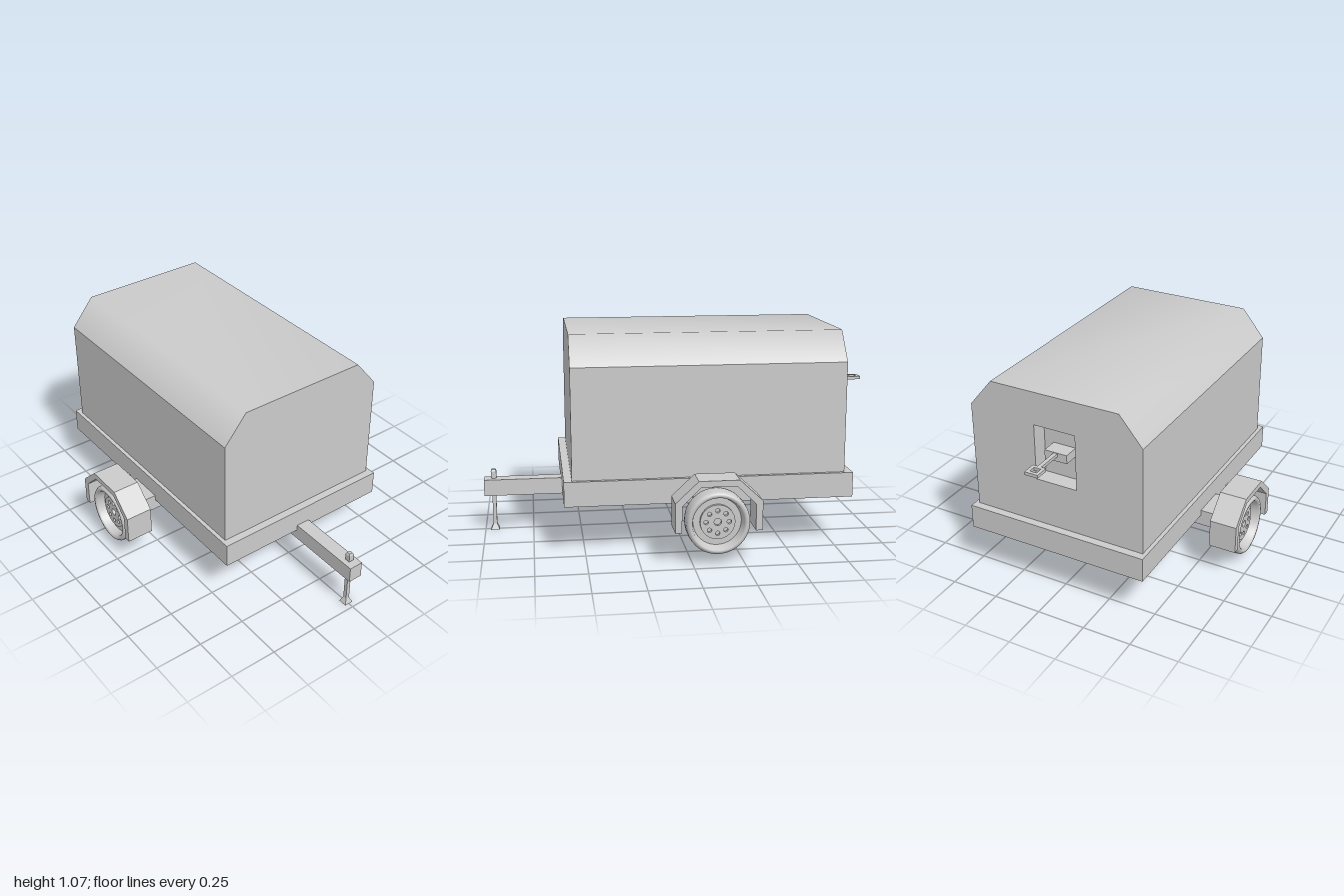
import * as THREE from 'three';

const mat = new THREE.MeshStandardMaterial({ color: 0xcccccc });
const thin = new THREE.MeshStandardMaterial({ color: 0xcccccc, side: THREE.DoubleSide });

function add(parent, name, geometry, x = 0, y = 0, z = 0, material = mat) {
  const mesh = new THREE.Mesh(geometry, material);
  mesh.name = name;
  mesh.position.set(x, y, z);
  parent.add(mesh);
  return mesh;
}

// Box given by its limits on each axis
function box(parent, name, [x0, x1], [y0, y1], [z0, z1]) {
  return add(parent, name, new THREE.BoxGeometry(x1 - x0, y1 - y0, z1 - z0),
    (x0 + x1) / 2, (y0 + y1) / 2, (z0 + z1) / 2);
}

// Surface swept along z from an xy line; smooth across its bends unless flat
function strip(pts, z0, z1, flat = false) {
  const pos = [], idx = [];
  pts.forEach(([x, y], i) => {
    pos.push(x, y, z0, x, y, z1);
    const a = 2 * i;
    if (i < pts.length - 1) idx.push(a + 1, a, a + 3, a, a + 2, a + 3);
  });
  let g = new THREE.BufferGeometry();
  g.setAttribute('position', new THREE.Float32BufferAttribute(pos, 3));
  g.setIndex(idx);
  if (flat) g = g.toNonIndexed();
  g.computeVertexNormals();
  return g;
}

const shapeOf = pts => new THREE.Shape(pts.map(p => new THREE.Vector2(...p)));

function createBody() {
  const body = new THREE.Group();
  body.name = 'body';
  const back = -0.8, front = 0.56, recess = -0.715;
  const roof = [[0.46, 0.925], [0.34, 1.07], [-0.34, 1.07], [-0.46, 0.925]];
  const outline = [[0.46, 0.37], ...roof, [-0.46, 0.37]];
  const opening = [[-0.11, 0.61], [-0.11, 0.9], [0.11, 0.9], [0.11, 0.61]];

  add(body, 'roof', strip(roof, back, front), 0, 0, 0, thin);
  add(body, 'leftWall', strip([[0.46, 0.37], [0.46, 0.925]], back, front), 0, 0, 0, thin);
  add(body, 'rightWall', strip([[-0.46, 0.925], [-0.46, 0.37]], back, front), 0, 0, 0, thin);
  add(body, 'frontWall', new THREE.ShapeGeometry(shapeOf(outline)), 0, 0, front, thin);

  // Back wall with a recessed pocket
  const wall = shapeOf(outline);
  wall.holes.push(shapeOf(opening));
  add(body, 'backWall', new THREE.ShapeGeometry(wall).rotateY(Math.PI), 0, 0, back, thin);
  add(body, 'recessSides', strip([...opening, opening[0]], back, recess, true), 0, 0, 0, thin);
  add(body, 'recessBack', new THREE.PlaneGeometry(0.22, 0.29).rotateY(Math.PI), 0, 0.755, recess, thin);
  return body;
}

// Rear coupling: block, rod and square eye
function createCoupling() {
  const g = new THREE.Group();
  g.name = 'rearCoupling';
  box(g, 'couplingBlock', [-0.06, 0.06], [0.735, 0.78], [-0.795, -0.715]);
  box(g, 'couplingRod', [-0.01, 0.01], [0.761, 0.777], [-0.935, -0.79]);
  const eye = shapeOf([[-0.035, -0.035], [0.035, -0.035], [0.035, 0.035], [-0.035, 0.035]]);
  eye.holes.push(shapeOf([[-0.018, -0.018], [-0.018, 0.018], [0.018, 0.018], [0.018, -0.018]]));
  const geo = new THREE.ExtrudeGeometry(eye, { depth: 0.016, bevelEnabled: false });
  add(g, 'couplingEye', geo.rotateX(-Math.PI / 2), 0, 0.761, -0.965);
  return g;
}

// Square jack leg with a flared foot and a small head
function createJack() {
  const g = new THREE.Group();
  g.name = 'jack';
  g.position.z = 0.95;
  const square = (top, bottom, h) =>
    new THREE.CylinderGeometry(top * Math.SQRT2, bottom * Math.SQRT2, h, 4, 1)
      .rotateY(Math.PI / 4).toNonIndexed();
  const piece = (name, top, bottom, y0, y1) => {
    const geo = square(top, bottom, y1 - y0);
    geo.computeVertexNormals();
    add(g, name, geo, 0, (y0 + y1) / 2, 0);
  };
  piece('jackFoot', 0.01, 0.023, 0, 0.03);
  piece('jackLeg', 0.01, 0.01, 0.03, 0.28);
  piece('jackHead', 0.014, 0.014, 0.28, 0.315);
  piece('jackCap', 0.009, 0.014, 0.315, 0.325);
  return g;
}

// Wheel, mudguard and bracket on one end of the axle, pointing to +x
function createWheelUnit(name) {
  const g = new THREE.Group();
  g.name = name;
  g.position.z = -0.12;

  // Tyre with a hollow rim on both faces
  const profile = [[0.112, -0.01], [0.122, -0.045], [0.132, -0.055], [0.145, -0.053], [0.153, -0.042],
    [0.155, -0.02], [0.155, 0.02], [0.153, 0.042], [0.145, 0.053], [0.134, 0.055],
    [0.126, 0.047], [0.118, 0.01], [0.112, -0.01]].map(p => new THREE.Vector2(...p));
  const tyre = new THREE.LatheGeometry(profile, 40).rotateZ(-Math.PI / 2);
  add(g, 'tyre', tyre, 0.66, 0.205, 0, thin);

  // Rim disc with a raised, pierced centre
  const disc = new THREE.CylinderGeometry(0.117, 0.117, 0.014, 40).rotateZ(Math.PI / 2);
  add(g, 'rimDisc', disc, 0.66, 0.205, 0);
  const plate = new THREE.Shape().absarc(0, 0, 0.085, 0, Math.PI * 2);
  for (let i = 0; i < 8; i++) {
    const a = i * Math.PI / 4;
    plate.holes.push(new THREE.Path().absarc(Math.cos(a) * 0.056, Math.sin(a) * 0.056, 0.011, 0, Math.PI * 2, true));
  }
  plate.holes.push(new THREE.Path().absarc(0, 0, 0.018, 0, Math.PI * 2, true));
  const plateGeo = new THREE.ExtrudeGeometry(plate, { depth: 0.018, bevelEnabled: false, curveSegments: 16 });
  add(g, 'rimCentre', plateGeo.rotateY(Math.PI / 2), 0.665, 0.205, 0);
  add(g, 'hub', new THREE.CylinderGeometry(0.035, 0.035, 0.09, 20).rotateZ(Math.PI / 2), 0.615, 0.225, 0);

  // Angular mudguard arch
  const outer = [[-0.21, 0.17], [-0.21, 0.315], [-0.098, 0.42], [0.098, 0.42], [0.21, 0.315], [0.21, 0.17]];
  const inner = [[0.177, 0.17], [0.177, 0.3], [0.085, 0.39], [-0.085, 0.39], [-0.177, 0.3], [-0.177, 0.17]];
  const arch = new THREE.ExtrudeGeometry(shapeOf([...outer, ...inner]), { depth: 0.14, bevelEnabled: false });
  add(g, 'mudguard', arch.rotateY(Math.PI / 2), 0.585, 0, 0);
  box(g, 'mudguardBracket', [0.575, 0.592], [0.27, 0.413], [-0.012, 0.012]);
  return g;
}

export function createModel() {
  const model = new THREE.Group();
  model.name = 'trailer';
  model.add(createBody(), createCoupling(), createJack());

  // Chassis
  box(model, 'base', [-0.48, 0.48], [0.245, 0.37], [-0.84, 0.6]);
  box(model, 'axleBeam', [-0.59, 0.59], [0.19, 0.275], [-0.21, -0.03]);
  box(model, 'drawbar', [-0.037, 0.037], [0.19, 0.275], [-0.03, 1]);

  const left = createWheelUnit('leftWheelUnit');
  const right = createWheelUnit('rightWheelUnit');
  right.rotation.y = Math.PI;
  model.add(left, right);
  return model;
}
